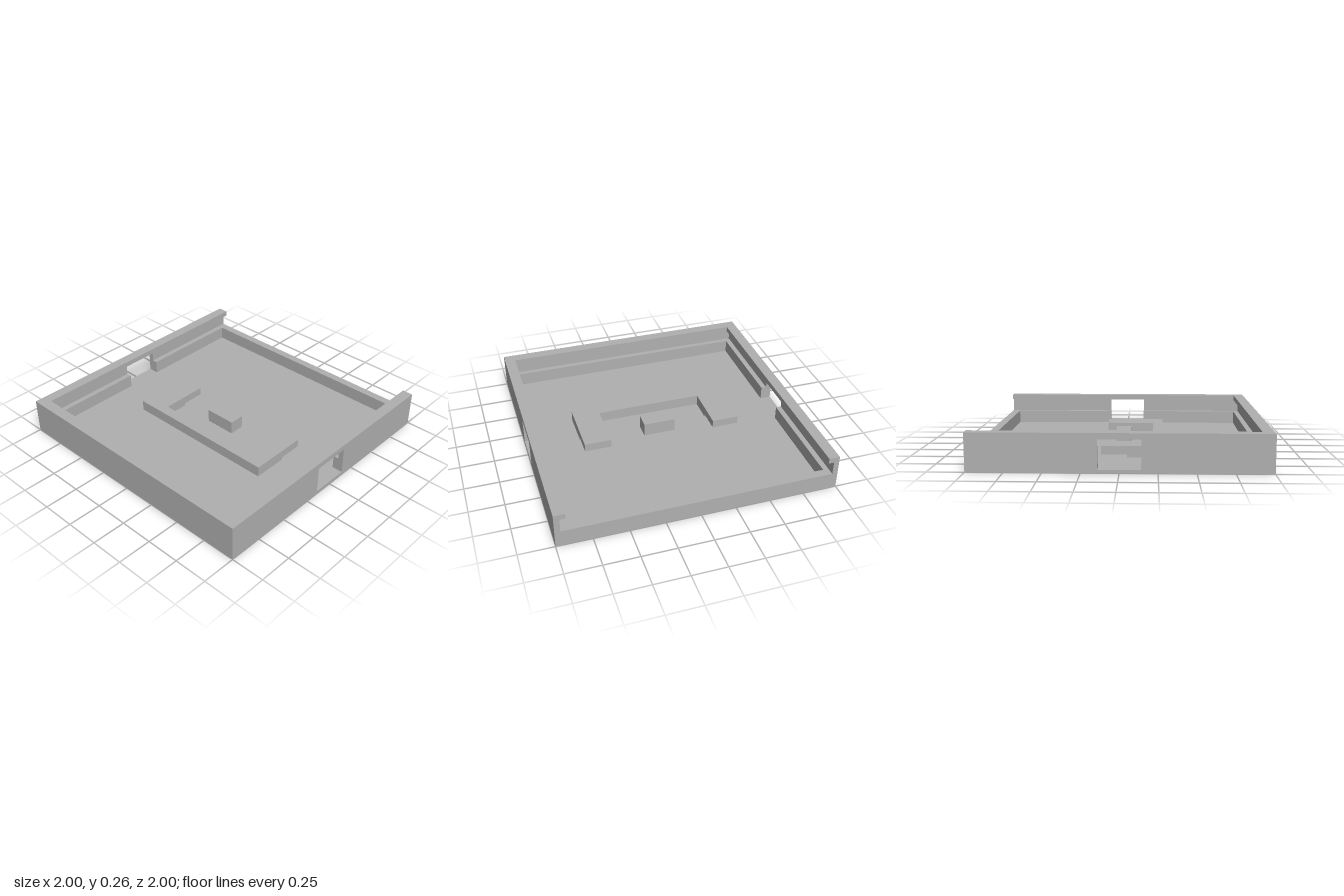
import * as THREE from 'three';

export function createModel() {
  const model = new THREE.Group();
  model.name = 'slideLidTray';
  const grey = new THREE.MeshStandardMaterial({ color: 0xb0b0b0 });
  grey.name = 'plain grey';

  // Plan outline of [x, z] points raised from y0 to y1
  function slab(name, points, y0, y1) {
    const shape = new THREE.Shape(points.map(([x, z]) => new THREE.Vector2(x, -z)));
    const geo = new THREE.ExtrudeGeometry(shape, { depth: y1 - y0, bevelEnabled: false });
    geo.rotateX(-Math.PI / 2).translate(0, y0, 0);
    const mesh = new THREE.Mesh(geo, grey);
    mesh.name = name;
    model.add(mesh);
  }

  // U-shaped plan: arms run from zEnd to a cross bar between zIn and zOut
  const uPlan = (outer, inner, zEnd, zIn, zOut) => [
    [-outer, zEnd], [-outer, zOut], [outer, zOut], [outer, zEnd],
    [inner, zEnd], [inner, zIn], [-inner, zIn], [-inner, zEnd],
  ];
  const rect = (x0, x1, z0, z1) => [[x0, z0], [x0, z1], [x1, z1], [x1, z0]];

  const floor = 0.022, ledge = 0.122, lip = 0.222, top = 0.262;
  const port = 0.142; // half width of the side openings

  slab('floor', rect(-1, 1, -1, 1), 0, floor);

  // Lower walls, interrupted by the side openings
  slab('frontLowerWall', uPlan(1, 0.92, port, 0.92, 1), floor, ledge);
  slab('backLowerWall', uPlan(1, 0.92, -port, -0.94, -1), floor, ledge);

  // Thin walls behind the lid groove, open at the back
  slab('frontGrooveWall', uPlan(1, 0.96, port, 0.96, 1), ledge, lip);
  for (const side of [-1, 1]) {
    const x = [side * 0.96, side].sort((a, b) => a - b);
    slab(side > 0 ? 'leftGrooveWall' : 'rightGrooveWall', rect(x[0], x[1], -1, -port), ledge, lip);
  }

  // Overhanging lip that holds the lid
  slab('lidLip', uPlan(1, 0.92, -1, 0.92, 1), lip, top);

  // U-shaped bracket whose arm ends overhang a shorter foot
  slab('bracketFoot', uPlan(0.6, 0.4, 0.04, 0.22, 0.3), floor, 0.042);
  slab('bracket', uPlan(0.6, 0.4, -0.14, 0.22, 0.3), 0.042, 0.102);

  slab('centreBlock', rect(-0.12, 0.12, -0.057, 0.057), floor, 0.122);

  return model;
}
